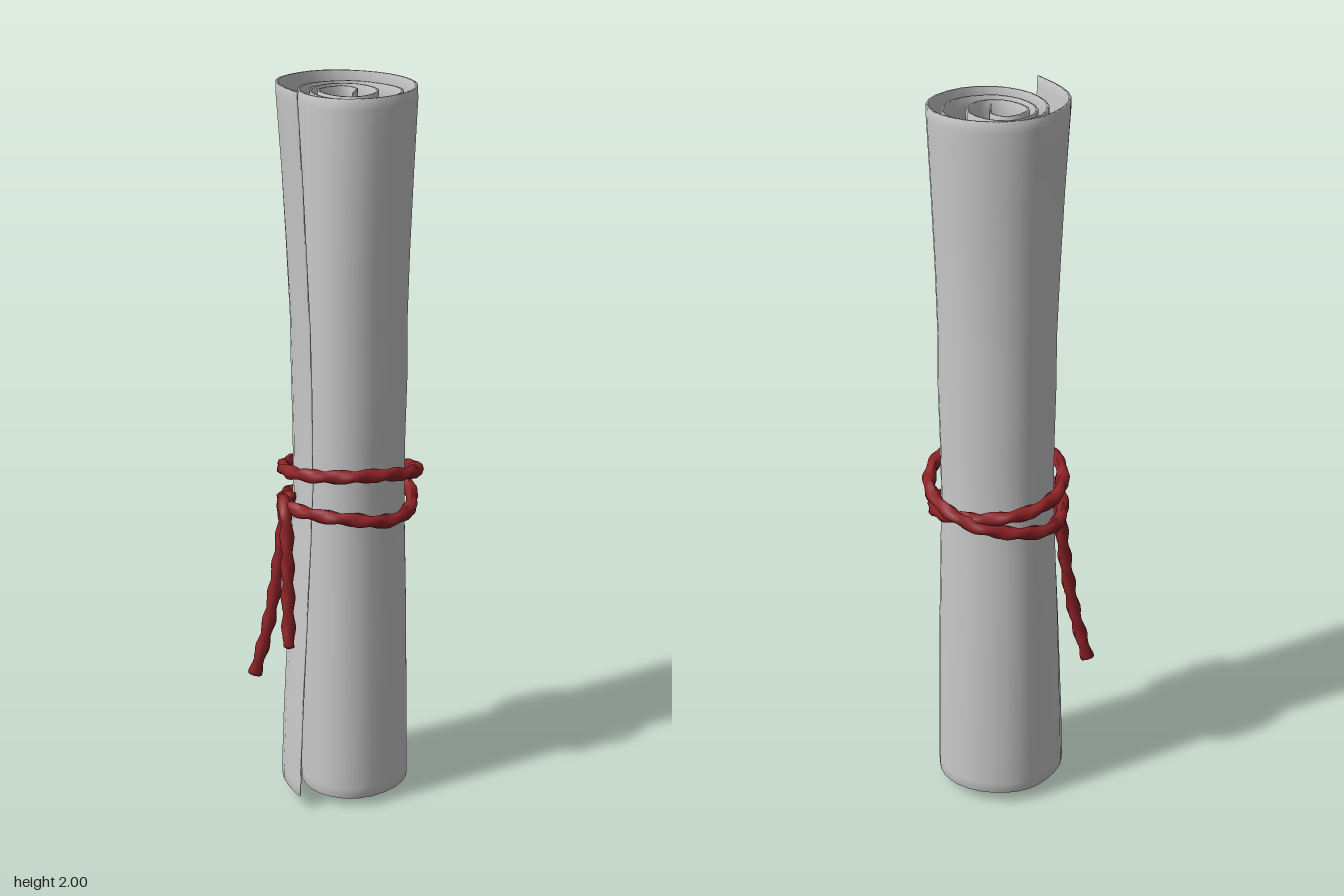
import * as THREE from 'three';

const paper = new THREE.MeshStandardMaterial({ color: 0xc9c9c9 });
paper.name = 'pale grey paper';
const red = new THREE.MeshStandardMaterial({ color: 0x8c2226 });
red.name = 'dark red cord';

const CX = 0.03; // axis of the roll
const THICK = 0.007;
const { lerp, smoothstep } = THREE.MathUtils;

// Spiral of the sheet at the top edge, from the loose flap to the core (x, z)
const spiral = new THREE.SplineCurve([
  [-0.155, 0.115], [-0.162, 0.04], [-0.155, -0.04], [-0.12, -0.11], [-0.05, -0.16], [0.02, -0.178],
  [0.09, -0.162], [0.155, -0.115], [0.195, -0.05], [0.205, 0.02], [0.185, 0.09], [0.13, 0.145],
  [0.04, 0.172], [-0.04, 0.15], [-0.09, 0.09], [-0.105, 0.02], [-0.09, -0.055], [-0.04, -0.11],
  [0.045, -0.125], [0.11, -0.1], [0.15, -0.045], [0.168, 0.02], [0.145, 0.08], [0.09, 0.125],
  [0.03, 0.13], [-0.03, 0.105], [-0.065, 0.05], [-0.07, -0.02], [-0.04, -0.08], [0.025, -0.105],
  [0.08, -0.08], [0.108, -0.02], [0.095, 0.045], [0.035, 0.085], [-0.02, 0.065], [-0.045, 0.01],
  [-0.037, -0.05], [0.035, -0.072], [0.062, -0.02], [0.02, 0.05],
].map(([x, z]) => new THREE.Vector2(x, z)));

// Height fraction, squeeze of the roll, squeeze of the loose flap
const rows = [
  [0, 0.5, -0.05], [0.015, 0.45, -0.05], [0.1, 0.55, 0.1], [0.25, 0.7, 0.5], [0.38, 0.95, 0.85],
  [0.45, 1.05, 1], [0.52, 1, 1], [0.6, 0.85, 0.95], [0.68, 0.9, 0.85], [0.78, 0.7, 0.6],
  [0.88, 0.4, 0.35], [0.96, 0.12, 0.1], [0.985, 0.03, 0.02], [1, 0.06, 0],
];

// Rolled sheet: closed cross-sections (outer face, then inner face) stacked up
function rolledSheet() {
  const last = spiral.points.length - 1;
  const n = last * 2 + 1, loop = n * 2;
  const pos = [], index = [];
  for (const [h, body, flap] of rows) {
    for (let k = 0; k < loop; k++) {
      const inner = k >= n;
      const t = (inner ? loop - 1 - k : k) / (n - 1);
      const i = t * last;
      const p = spiral.getPoint(t);
      const wFlap = 1 - smoothstep(i, 0.5, 4.5);
      const wBody = (1 - smoothstep(i, 10.5, 15)) * (1 - wFlap);
      const dx = p.x - CX, r = Math.hypot(dx, p.y);
      const s = 1 - 0.14 * body * wBody - 0.26 * flap * wFlap - (inner ? THICK / r : 0);
      // the sheet is rolled slightly askew, so the core sits lower
      const bottom = lerp(0.04, 0.0, Math.min(1, t * 1.1));
      const top = lerp(2.0, 1.97, Math.min(1, t * 2));
      pos.push(CX + dx * s, lerp(bottom, top, h), p.y * s);
    }
  }
  for (let j = 0; j < rows.length - 1; j++) {
    for (let k = 0; k < loop; k++) {
      const a = j * loop + k, b = j * loop + (k + 1) % loop;
      index.push(a, a + loop, b, b, a + loop, b + loop);
    }
  }
  const up = (rows.length - 1) * loop;
  for (let k = 0; k < n - 1; k++) { // thin bottom and top edges
    const o = k, o2 = k + 1, q = loop - 1 - k, q2 = q - 1;
    index.push(o, o2, q, o2, q2, q);
    index.push(up + o, up + q, up + o2, up + o2, up + q, up + q2);
  }
  const g = new THREE.BufferGeometry();
  g.setAttribute('position', new THREE.Float32BufferAttribute(pos, 3));
  g.setIndex(index);
  g.computeVertexNormals();
  return g;
}

// Twisted cord: a tube with a lobed section that turns along its length
function cord(name, points, radius = 0.019) {
  const curve = new THREE.CatmullRomCurve3(points.map((p) => new THREE.Vector3(...p)));
  const length = curve.getLength();
  const segments = Math.ceil(length / 0.008);
  const g = new THREE.TubeGeometry(curve, segments, radius, 10);
  const { position, uv } = g.attributes;
  const v = new THREE.Vector3(), c = new THREE.Vector3();
  for (let i = 0; i < position.count; i++) {
    const u = uv.getX(i);
    curve.getPointAt(u, c);
    const lobe = 0.9 + 0.16 * Math.cos(2 * (uv.getY(i) * Math.PI * 2) - u * length * 75);
    const end = u === 0 || u === 1 ? 0 : 1; // close the ends
    v.fromBufferAttribute(position, i).sub(c).multiplyScalar(lobe * end).add(c);
    position.setXYZ(i, v.x, v.y, v.z);
  }
  g.computeVertexNormals();
  const mesh = new THREE.Mesh(g, red);
  mesh.name = name;
  return mesh;
}

export function createModel() {
  const group = new THREE.Group();
  group.name = 'tiedScroll';

  const sheet = new THREE.Mesh(rolledSheet(), paper);
  sheet.name = 'rolledSheet';
  group.add(sheet);

  // Cord wound twice round the roll, crossing at the back
  group.add(cord('cordLoops', [
    [-0.14, 0.865, -0.03], [-0.145, 0.865, 0.04], [-0.1, 0.865, 0.115], [-0.02, 0.86, 0.165],
    [0.07, 0.845, 0.168], [0.15, 0.845, 0.125], [0.197, 0.865, 0.04], [0.193, 0.885, -0.05],
    [0.13, 0.905, -0.145], [0.03, 0.915, -0.175], [-0.07, 0.93, -0.145], [-0.135, 0.95, -0.06],
    [-0.148, 0.965, 0.03], [-0.105, 0.978, 0.12], [-0.03, 0.985, 0.172], [0.06, 0.98, 0.176],
    [0.15, 0.96, 0.135], [0.21, 0.935, 0.05], [0.214, 0.912, -0.04], [0.165, 0.885, -0.13],
    [0.06, 0.86, -0.176], [-0.04, 0.845, -0.165], [-0.11, 0.85, -0.105], [-0.145, 0.865, -0.03],
    [-0.15, 0.87, 0.02],
  ]));

  // Loose ends hanging from the tie
  group.add(cord('longCordEnd', [
    [-0.13, 0.88, 0.0], [-0.14, 0.865, -0.035], [-0.14, 0.8, -0.045],
    [-0.16, 0.65, -0.045], [-0.185, 0.5, -0.05], [-0.222, 0.335, -0.07],
  ]));
  group.add(cord('shortCordEnd', [
    [-0.14, 0.84, -0.035], [-0.158, 0.875, 0.0], [-0.165, 0.855, 0.04],
    [-0.168, 0.76, 0.06], [-0.172, 0.62, 0.075], [-0.178, 0.48, 0.095],
  ]));
  return group;
}
